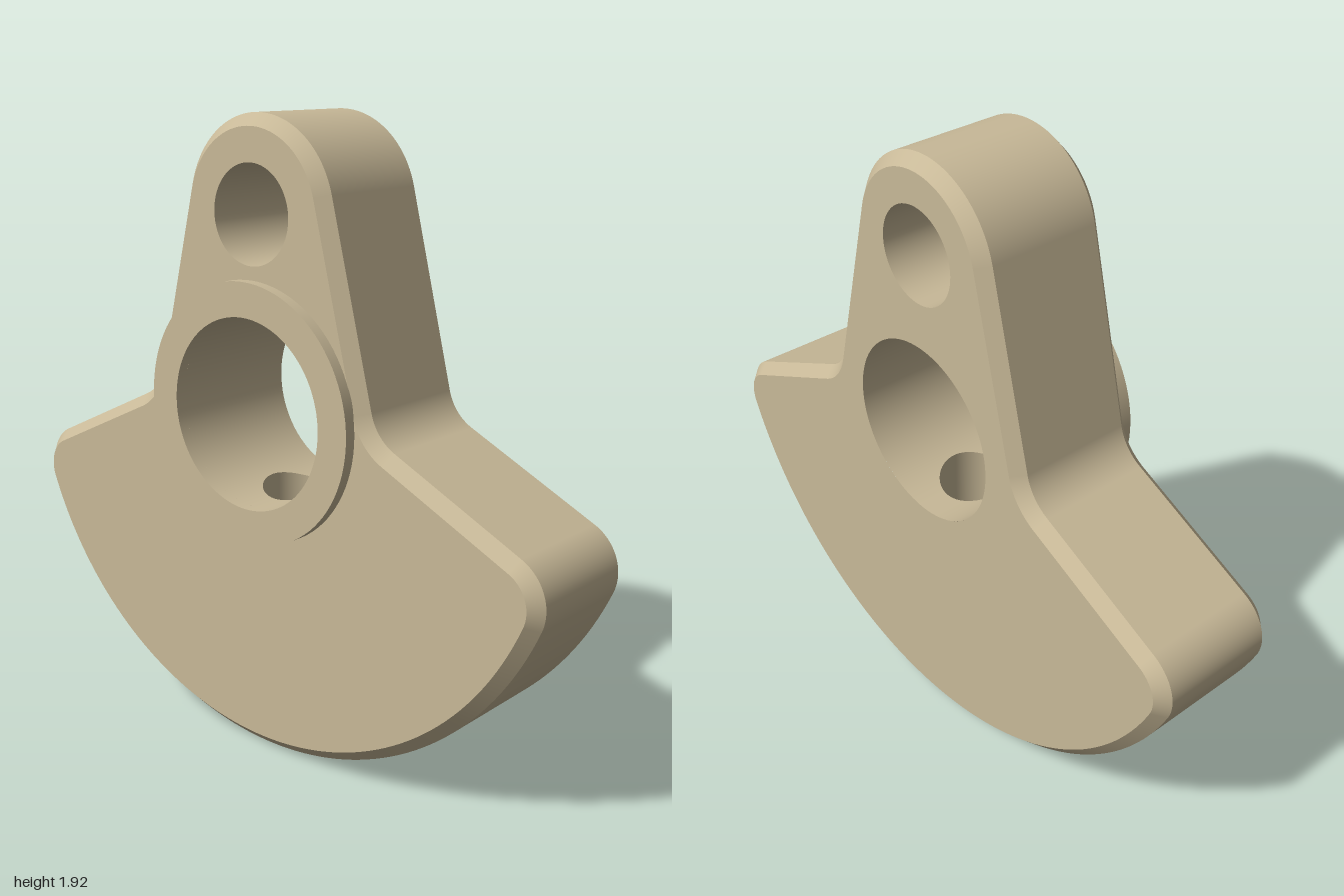
import * as THREE from 'three';

const AXIS_Y = 1.07, RIM_R = 1.07, BORE_R = 0.287, BOSS_R = 0.39;
const EYE_Y = 1.645, EYE_R = 0.145;
const BACK = -0.23, FRONT = 0.2, BOSS_FRONT = 0.235, CHAMFER = 0.036;
const DRILL_R = 0.12, DRILL_Z = -0.015, PATCH = 0.2;
const rad = THREE.MathUtils.degToRad;

// Arc points with normals; clockwise arcs face outwards, the others inwards.
function arc(cx, cy, r, from, to, n) {
  const s = to < from ? 1 : -1, pts = [];
  for (let i = 0; i <= n; i++) {
    const a = rad(from + (to - from) * i / n), c = Math.cos(a), d = Math.sin(a);
    pts.push({ x: cx + r * c, y: cy + r * d, nx: s * c, ny: s * d });
  }
  return pts;
}

// Surface over a grid; f(i, j) gives [x, y, z, nx, ny, nz]. Winding follows the normals.
function grid(nu, nv, f) {
  const pos = [], nor = [], idx = [];
  for (let i = 0; i <= nu; i++) for (let j = 0; j <= nv; j++) {
    const v = f(i, j);
    pos.push(...v.slice(0, 3));
    nor.push(...new THREE.Vector3(...v.slice(3)).normalize().toArray());
  }
  const P = k => new THREE.Vector3().fromArray(pos, 3 * k);
  const face = P(nv + 1).sub(P(0)).cross(P(1).sub(P(0)));
  const flip = face.dot(new THREE.Vector3().fromArray(nor, 0)) < 0;
  for (let i = 0; i < nu; i++) for (let j = 0; j < nv; j++) {
    const a = i * (nv + 1) + j, b = a + nv + 1;
    if (flip) idx.push(a, a + 1, b, b, a + 1, b + 1);
    else idx.push(a, b, a + 1, b, b + 1, a + 1);
  }
  const g = new THREE.BufferGeometry();
  g.setAttribute('position', new THREE.Float32BufferAttribute(pos, 3));
  g.setAttribute('normal', new THREE.Float32BufferAttribute(nor, 3));
  g.setIndex(idx);
  return g;
}

// Wall along a profile between two depths, each with its own inset.
function wall(pts, z0, z1, inset0 = 0, inset1 = 0) {
  const slope = (inset1 - inset0) / (z1 - z0);
  return grid(pts.length - 1, 1, (i, j) => {
    const p = pts[i], d = j ? inset1 : inset0;
    return [p.x - p.nx * d, p.y - p.ny * d, j ? z1 : z0, p.nx, p.ny, slope];
  });
}

// Lower piece of a cylinder wall with the round drill opening in it.
function drilledPatch(r, z0, z1, sign) {
  return grid(96, 8, (i, j) => {
    const a = i / 96 * Math.PI * 2, c = Math.cos(a), s = Math.sin(a), t = j / 8;
    const m = Math.max(Math.abs(c), Math.abs(s));
    const x = THREE.MathUtils.lerp(DRILL_R * c, PATCH * c / m, t);
    const z = THREE.MathUtils.lerp(DRILL_Z + DRILL_R * s, z0 + (z1 - z0) * (s / m + 1) / 2, t);
    const d = Math.sqrt(r * r - x * x);
    return [x, AXIS_Y - d, z, sign * x, -sign * d, 0];
  });
}

function cap(outline, holes, z, back = false) {
  const v = pts => pts.map(p => new THREE.Vector2(p.x, p.y));
  const shape = new THREE.Shape(v(outline));
  shape.holes = holes.map(h => new THREE.Path(v(h)));
  const g = new THREE.ShapeGeometry(shape);
  if (back) g.rotateY(Math.PI);
  return g.translate(0, 0, z);
}

export function createModel() {
  const group = new THREE.Group();
  const material = new THREE.MeshStandardMaterial({ color: 0xc8b998 });
  const add = (name, geometry) => {
    const mesh = new THREE.Mesh(geometry, material);
    mesh.name = name;
    group.add(mesh);
  };

  // Right half of the outline: arm end, inner fillet, shoulder corner, rim
  const split = -90 + THREE.MathUtils.radToDeg(Math.asin(PATCH / RIM_R));
  const half = [
    ...arc(0, EYE_Y, 0.28, 90, 14.5, 24),
    ...arc(0.565, 1.175, 0.15, 194.5, 245.8, 14),
    ...arc(0.86, 0.716, 0.14, 65.8, -22.4, 20),
    ...arc(0, AXIS_Y, RIM_R, -22.4, split, 32).slice(1),
  ];
  const rimEnd = arc(0, AXIS_Y, RIM_R, split, -90, 8).slice(1);
  const mirror = pts => pts.map(p => ({ ...p, x: -p.x, nx: -p.nx })).reverse();
  const open = [...mirror(half).slice(0, -1), ...half];
  const loop = [...open, ...rimEnd, ...mirror(rimEnd).slice(1), open[0]];

  // Body
  const zb = BACK + CHAMFER, zf = FRONT - CHAMFER;
  add('bodySide', wall(open, zb, zf));
  add('bodySideDrilled', drilledPatch(RIM_R, zb, zf, 1));
  add('frontChamfer', wall(loop, zf, FRONT, 0, CHAMFER));
  add('backChamfer', wall(loop, BACK, zb, CHAMFER, 0));

  const bore = arc(0, AXIS_Y, BORE_R, 0, 360, 96);
  const eye = arc(0, EYE_Y, EYE_R, 0, 360, 64);
  const boss = arc(0, AXIS_Y, BOSS_R, 360, 0, 96);
  const inset = loop.slice(0, -1).map(p => ({ x: p.x - p.nx * CHAMFER, y: p.y - p.ny * CHAMFER }));
  const holes = [bore.slice(0, -1), eye.slice(0, -1)];
  add('frontFace', cap(inset, holes, FRONT));
  add('backFace', cap(inset, holes, BACK, true));

  // Raised ring around the bore
  add('bossFace', cap(boss.slice(0, -1), [holes[0]], BOSS_FRONT));
  add('bossSide', wall(boss, FRONT - 0.03, BOSS_FRONT));

  // Small eye and main bore
  add('eyeHole', wall(eye, BACK, FRONT));
  const gap = THREE.MathUtils.radToDeg(Math.asin(PATCH / BORE_R));
  add('boreWall', wall(arc(0, AXIS_Y, BORE_R, -90 + gap, 270 - gap, 72), BACK, BOSS_FRONT));
  add('boreWallDrilled', drilledPatch(BORE_R, BACK, BOSS_FRONT, -1));

  // Drilled passage from the rim up into the bore
  add('drilledPassage', grid(96, 1, (i, j) => {
    const a = i / 96 * Math.PI * 2, c = Math.cos(a), s = Math.sin(a);
    const x = DRILL_R * c, r = j ? BORE_R : RIM_R;
    return [x, AXIS_Y - Math.sqrt(r * r - x * x), DRILL_Z + DRILL_R * s, -c, 0, -s];
  }));
  return group;
}
